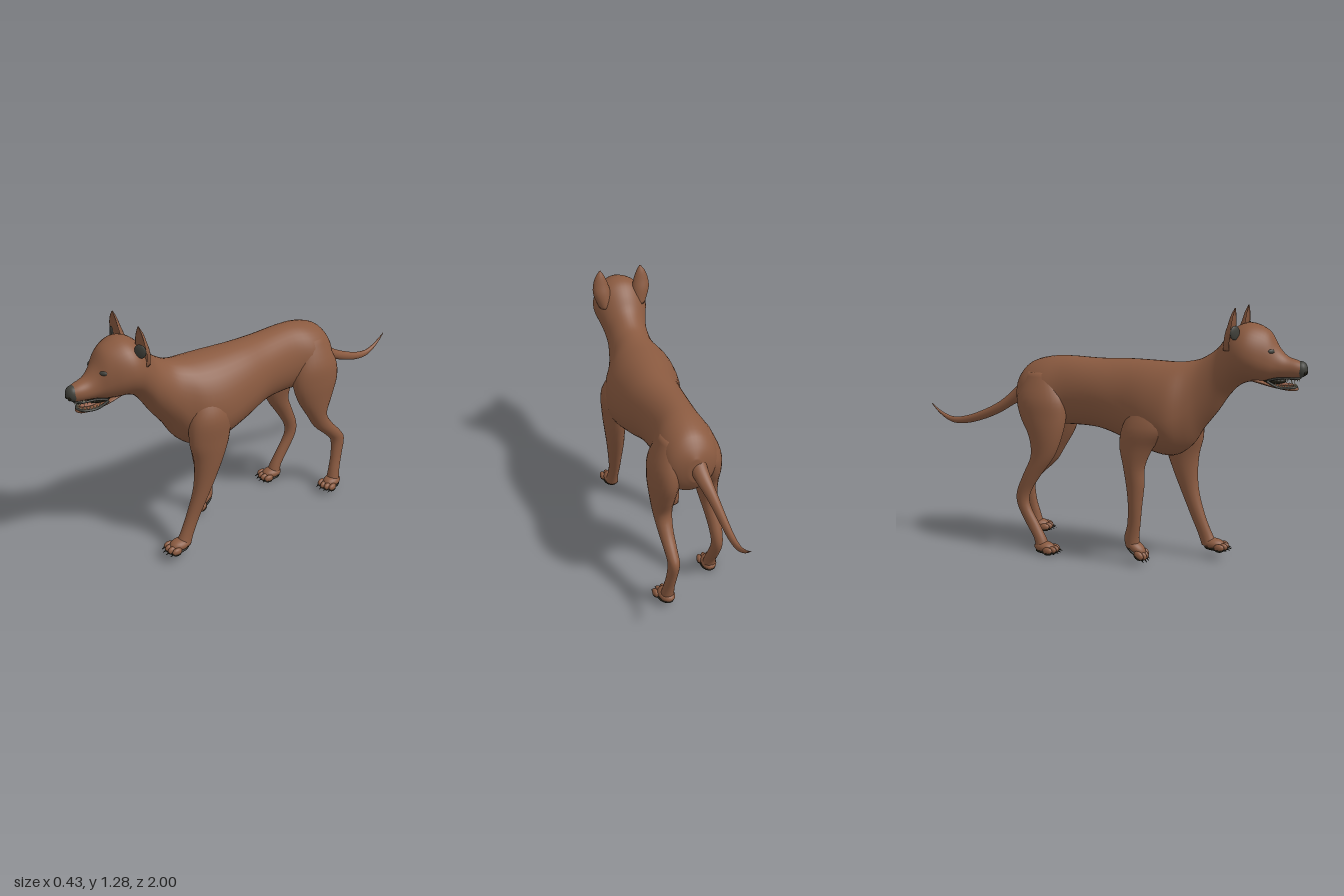
import * as THREE from 'three';

const mat = (name, color, side = THREE.FrontSide) => {
  const m = new THREE.MeshStandardMaterial({ color, side });
  m.name = name;
  return m;
};

// Smooth value along a list of rows (uniform Catmull-Rom on every column)
function sampleRow(rows, s) {
  const n = rows.length - 1;
  const i = Math.min(Math.floor(s), n - 1), f = s - i;
  const r = k => rows[Math.max(0, Math.min(n, k))];
  return rows[0].map((_, c) => {
    const [a, b, d, e] = [r(i - 1)[c], r(i)[c], r(i + 1)[c], r(i + 2)[c]];
    return b + 0.5 * f * (d - a + f * (2 * a - 5 * b + 4 * d - e + f * (3 * (b - d) + e - a)));
  });
}

// Skin over elliptical sections. Row: [t, centreX, high, low, halfWidth, middle?]
// along 'z' (rows ascend) the sections stand upright; along 'y' (rows descend) they lie flat.
// dent < 0 folds the high side inwards to make a cup.
function loft(rows, along, dent = 1, sides = 28, steps = 4) {
  const pos = [], index = [], count = (rows.length - 1) * steps;
  const put = (t, u, v) => along === 'z' ? pos.push(u, v, t) : pos.push(u, t, v);
  for (let i = 0; i <= count; i++) {
    const [t, c, hi, lo, w, m = (hi + lo) / 2] = sampleRow(rows, i / steps);
    for (let j = 0; j < sides; j++) {
      const a = j / sides * Math.PI * 2, s = Math.sin(a);
      put(t, c + Math.cos(a) * w, m + (s > 0 ? s * (hi - m) * dent : s * (m - lo)));
    }
  }
  for (let i = 0; i < count; i++) for (let j = 0; j < sides; j++) {
    const k = (j + 1) % sides, a = i * sides, b = a + sides;
    index.push(a + j, a + k, b + k, a + j, b + k, b + j);
  }
  // Rounded-over end caps
  const first = rows[0], last = rows[rows.length - 1], end = count * sides;
  for (const r of [first, last]) put(r[0], r[1], r[5] ?? (r[2] + r[3]) / 2);
  const c0 = (count + 1) * sides;
  for (let j = 0; j < sides; j++) {
    const k = (j + 1) % sides;
    index.push(c0, k, j, c0 + 1, end + j, end + k);
  }
  const g = new THREE.BufferGeometry();
  g.setAttribute('position', new THREE.Float32BufferAttribute(pos, 3));
  g.setIndex(index);
  g.computeVertexNormals();
  return g;
}

export function createModel() {
  const root = new THREE.Group();
  root.name = 'dog';
  const fur = mat('brown fur', 0x8a5a40, THREE.DoubleSide);
  const grey = mat('dark grey skin', 0x40403a);
  const dark = mat('black pads', 0x1f1c10);
  const ivory = mat('ivory teeth', 0xd6c8a4);
  const pink = mat('tongue', 0x9a6650);

  const add = (name, geo, m, parent = root) => {
    const mesh = new THREE.Mesh(geo, m);
    mesh.name = name;
    parent.add(mesh);
    return mesh;
  };
  const ball = new THREE.SphereGeometry(1, 20, 14);
  const blob = (name, m, p, s, parent = root) => {
    const b = add(name, ball, m, parent);
    b.position.set(...p);
    b.scale.set(...s);
    return b;
  };

  // Rump, trunk, neck, skull and upper muzzle in one skin
  add('body', loft([
    [-0.50, 0, 0.86, 0.74, 0.03, 0.80],
    [-0.47, 0, 0.91, 0.68, 0.10, 0.80],
    [-0.42, 0, 0.96, 0.64, 0.135, 0.80],
    [-0.33, 0, 0.99, 0.64, 0.15, 0.80],
    [-0.22, 0, 1.00, 0.65, 0.13, 0.82],
    [-0.05, 0.01, 0.995, 0.645, 0.14, 0.82],
    [0.10, 0.02, 1.00, 0.60, 0.165, 0.78],
    [0.25, 0.01, 1.00, 0.55, 0.195, 0.74],
    [0.36, 0, 1.00, 0.54, 0.19, 0.74],
    [0.44, 0, 1.01, 0.59, 0.15, 0.77],
    [0.50, 0, 1.03, 0.68, 0.122, 0.84],
    [0.57, 0, 1.08, 0.77, 0.108, 0.93],
    [0.62, 0, 1.145, 0.845, 0.117, 1.00],
    [0.67, 0, 1.19, 0.90, 0.135, 1.05],
    [0.72, 0, 1.205, 0.925, 0.14, 1.06],
    [0.77, 0, 1.195, 0.93, 0.125, 1.05],
    [0.82, 0, 1.165, 0.935, 0.095, 1.03],
    [0.86, 0, 1.10, 0.945, 0.068, 1.01],
    [0.90, 0, 1.058, 0.95, 0.053, 1.00],
    [0.95, 0, 1.04, 0.955, 0.042, 1.00],
    [0.98, 0, 1.03, 0.965, 0.03, 1.00],
  ], 'z', 1, 40), fur);

  add('tail', loft([
    [-1.00, -0.07, 0.712, 0.708, 0.002], [-0.95, -0.068, 0.676, 0.658, 0.008],
    [-0.88, -0.065, 0.648, 0.618, 0.012], [-0.80, -0.06, 0.656, 0.616, 0.016],
    [-0.70, -0.055, 0.692, 0.642, 0.02], [-0.60, -0.045, 0.745, 0.685, 0.026],
    [-0.52, -0.025, 0.815, 0.735, 0.036], [-0.45, -0.01, 0.90, 0.77, 0.045],
  ], 'z'), fur);

  // Legs from the top down: [y, x, front z, back z, half width]
  const legs = {
    frontLeftLeg: [
      [0.87, 0.11, 0.38, 0.28, 0.04], [0.75, 0.14, 0.44, 0.22, 0.072], [0.62, 0.148, 0.452, 0.23, 0.062],
      [0.52, 0.148, 0.43, 0.26, 0.053], [0.42, 0.142, 0.425, 0.30, 0.046], [0.32, 0.137, 0.437, 0.345, 0.038],
      [0.20, 0.13, 0.475, 0.40, 0.03], [0.11, 0.13, 0.515, 0.44, 0.029], [0.06, 0.13, 0.545, 0.458, 0.036],
    ],
    frontRightLeg: [
      [0.82, -0.11, 0.35, 0.20, 0.04], [0.70, -0.142, 0.37, 0.14, 0.063], [0.60, -0.15, 0.30, 0.125, 0.055],
      [0.50, -0.15, 0.255, 0.145, 0.05], [0.40, -0.145, 0.25, 0.16, 0.044], [0.30, -0.14, 0.237, 0.168, 0.039],
      [0.20, -0.13, 0.225, 0.16, 0.034], [0.13, -0.125, 0.217, 0.142, 0.034], [0.08, -0.122, 0.22, 0.15, 0.034],
    ],
    hindLeftLeg: [
      [0.92, 0.08, -0.29, -0.41, 0.04], [0.80, 0.10, -0.23, -0.475, 0.073], [0.70, 0.11, -0.215, -0.487, 0.073],
      [0.60, 0.115, -0.245, -0.455, 0.062], [0.50, 0.118, -0.305, -0.42, 0.048], [0.42, 0.118, -0.355, -0.462, 0.038],
      [0.35, 0.115, -0.43, -0.525, 0.032], [0.29, 0.112, -0.48, -0.562, 0.029], [0.20, 0.118, -0.48, -0.545, 0.026],
      [0.12, 0.126, -0.462, -0.525, 0.028], [0.05, 0.132, -0.445, -0.515, 0.035],
    ],
    hindRightLeg: [
      [0.92, -0.08, -0.27, -0.41, 0.04], [0.80, -0.10, -0.20, -0.46, 0.073], [0.70, -0.112, -0.19, -0.44, 0.073],
      [0.60, -0.125, -0.207, -0.385, 0.062], [0.50, -0.135, -0.245, -0.37, 0.048], [0.40, -0.145, -0.315, -0.41, 0.037],
      [0.31, -0.15, -0.37, -0.445, 0.03], [0.24, -0.152, -0.375, -0.442, 0.028], [0.15, -0.155, -0.325, -0.395, 0.027],
      [0.08, -0.157, -0.285, -0.35, 0.03], [0.03, -0.158, -0.265, -0.335, 0.035],
    ],
  };
  for (const [name, rows] of Object.entries(legs)) add(name, loft(rows, 'y'), fur);

  // Paws with toes, claws and dark soles
  const claw = new THREE.ConeGeometry(0.006, 0.026, 8).rotateX(Math.PI / 2 + 0.35);
  const paw = (name, x, y, z, pitch = 0, yaw = 0) => {
    const g = new THREE.Group();
    g.name = name;
    g.position.set(x, y, z);
    g.rotation.set(pitch, yaw, 0, 'YXZ');
    blob('instep', fur, [0, 0.03, -0.012], [0.04, 0.029, 0.056], g);
    blob('sole', dark, [0, 0.009, 0.0], [0.041, 0.011, 0.06], g);
    for (const i of [-1.5, -0.5, 0.5, 1.5]) {
      const tz = 0.044 - Math.abs(i) * 0.01;
      blob('toe', fur, [i * 0.025, 0.021, tz], [0.0145, 0.019, 0.027], g);
      blob('toePad', dark, [i * 0.025, 0.008, tz], [0.013, 0.01, 0.022], g);
      add('claw', claw, dark, g).position.set(i * 0.026, 0.012, tz + 0.031);
    }
    root.add(g);
  };
  paw('frontLeftPaw', 0.13, 0.038, 0.532);
  paw('frontRightPaw', -0.122, 0.05, 0.195, 0.6);
  paw('hindLeftPaw', 0.136, 0.025, -0.462, 0, 0.2);
  paw('hindRightPaw', -0.16, 0.002, -0.278, 0, -0.1);

  for (const s of [1, -1]) {
    const side = s > 0 ? 'left' : 'right';
    // Cupped ear with a dark patch at its opening
    add(side + 'Ear', loft([
      [1.277, s * 0.108, 0.685, 0.677, 0.003], [1.245, s * 0.110, 0.696, 0.662, 0.024],
      [1.20, s * 0.109, 0.704, 0.648, 0.04], [1.15, s * 0.104, 0.705, 0.632, 0.046],
      [1.08, s * 0.09, 0.70, 0.62, 0.035],
    ], 'y', -0.4), fur);
    blob(side + 'EarPatch', grey, [s * 0.122, 1.165, 0.684], [0.03, 0.033, 0.009]).rotation.y = s * 0.5;
    blob(side + 'Eye', grey, [s * 0.06, 1.08, 0.838], [0.021, 0.012, 0.012]).rotation.y = s * 0.7;
    blob(side + 'Nostril', dark, [s * 0.012, 0.985, 0.99], [0.01, 0.013, 0.008]);
  }
  blob('nose', grey, [0, 0.998, 0.968], [0.035, 0.038, 0.031]);

  // Open mouth: lower jaw, dark lips, lining, tongue and teeth
  add('lowerJaw', loft([
    [0.74, 0, 0.97, 0.93, 0.06], [0.83, 0, 0.932, 0.912, 0.058], [0.90, 0, 0.92, 0.898, 0.043],
    [0.94, 0, 0.917, 0.895, 0.03], [0.957, 0, 0.912, 0.9, 0.012],
  ], 'z'), fur);
  blob('mouthLining', dark, [0, 0.94, 0.83], [0.045, 0.02, 0.07]);
  blob('tongue', pink, [0, 0.923, 0.885], [0.024, 0.008, 0.055]);
  const rim = (y, drop, w, tip) => new THREE.CatmullRomCurve3([
    [-w, y + drop, 0.825], [-w * 0.8, y, 0.88], [-w * 0.5, y, tip - 0.015], [0, y, tip],
    [w * 0.5, y, tip - 0.015], [w * 0.8, y, 0.88], [w, y + drop, 0.825],
  ].map(p => new THREE.Vector3(...p)));
  const lower = rim(0.914, 0.028, 0.064, 0.95), upper = rim(0.957, -0.012, 0.06, 0.965);
  add('lowerLip', new THREE.TubeGeometry(lower, 40, 0.006, 8), grey);
  add('upperLip', new THREE.TubeGeometry(upper, 40, 0.005, 8), grey);
  const tooth = new THREE.ConeGeometry(0.005, 0.02, 8);
  for (let i = 0; i <= 14; i++) {
    const t = 0.15 + 0.05 * i, fang = i === 4 || i === 10 ? 1.4 : 0.9;
    for (const [curve, dir] of [[lower, 1], [upper, -1]]) {
      const p = curve.getPointAt(t);
      const m = add(dir > 0 ? 'lowerTooth' : 'upperTooth', tooth, ivory);
      m.position.set(p.x * 0.92, p.y + dir * 0.009, p.z - 0.004);
      m.rotation.z = dir > 0 ? 0 : Math.PI;
      m.scale.y = fang;
    }
  }
  return root;
}
